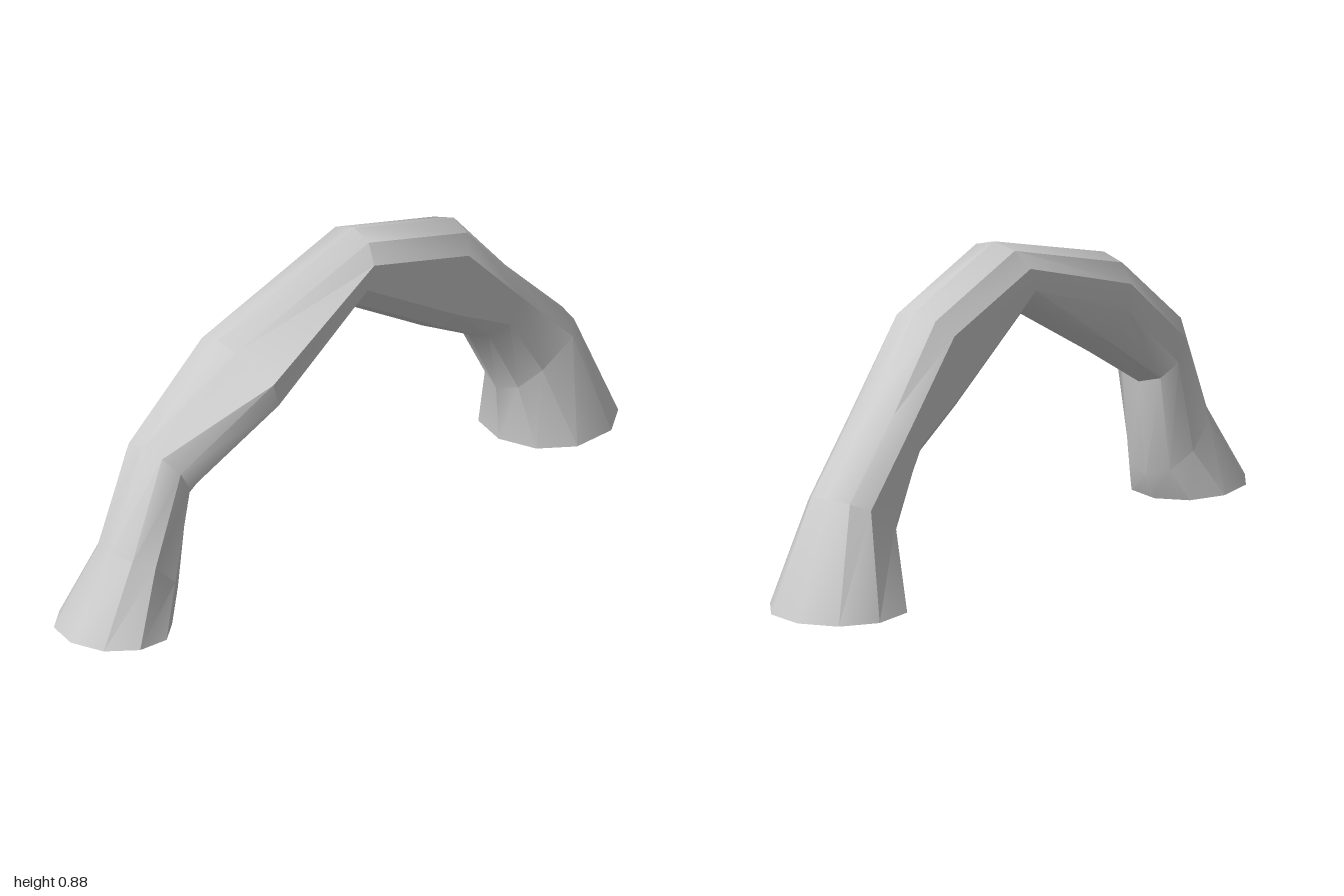
import * as THREE from 'three';
import { toCreasedNormals } from 'three/addons/utils/BufferGeometryUtils.js';

const SIDES = 10;

// Each section of the arch: outer ridge, upper side, lower side and inner ridge
// as [x, y], then the half depth and the z of its centre.
const sections = [
  { pts: [[-1, 0.02], [-0.89, 0.015], [-0.79, 0.008], [-0.68, 0]], depth: 0.155, z: -0.012 },
  { pts: [[-0.855, 0.24], [-0.79, 0.21], [-0.715, 0.14], [-0.645, 0.07]], depth: 0.108, z: -0.007 },
  { pts: [[-0.735, 0.52], [-0.69, 0.46], [-0.655, 0.4], [-0.615, 0.34]], depth: 0.103, z: -0.006 },
  { pts: [[-0.45, 0.74], [-0.43, 0.67], [-0.41, 0.6], [-0.38, 0.476]], depth: 0.103, z: -0.006, bulge: 0.19 },
  { pts: [[0.07, 0.885], [0.045, 0.818], [0.02, 0.752], [0, 0.685]], depth: 0.103, z: -0.006 },
  { pts: [[0.45, 0.77], [0.405, 0.71], [0.37, 0.54], [0.33, 0.485]], depth: 0.103, z: -0.006 },
  { pts: [[0.645, 0.55], [0.61, 0.5], [0.56, 0.44], [0.505, 0.39]], depth: 0.103, z: -0.006 },
  { pts: [[0.86, 0.34], [0.8, 0.31], [0.685, 0.25], [0.61, 0.185]], depth: 0.103, z: -0.006 },
  { pts: [[1, 0.025], [0.87, 0.025], [0.74, 0.025], [0.62, 0.025]], depth: 0.18, z: -0.006 },
];

// Ten-sided ring: outer ridge, down the front, inner ridge, back up the rear
function ring({ pts, depth, z, bulge }) {
  const [outer, upper, lower, inner] = pts.map((p) => new THREE.Vector2(...p));
  const side = [
    outer,
    outer.clone().lerp(upper, 0.276),
    upper,
    lower,
    inner.clone().lerp(lower, 0.276),
    inner,
  ];
  const spread = [0, 0.618, 1, 1, 0.618, 0];
  const out = [];
  for (let j = 0; j < SIDES; j++) {
    const front = j <= 5;
    const k = front ? j : SIDES - j;
    let depthAt = z + (front ? 1 : -1) * spread[k] * depth;
    if (bulge && (j === 2 || j === 3)) depthAt = bulge;
    out.push(side[k].x, side[k].y, depthAt);
  }
  return out;
}

export function createModel() {
  const group = new THREE.Group();
  group.name = 'arch';

  const positions = sections.flatMap(ring);
  const index = [];
  for (let i = 0; i < sections.length - 1; i++) {
    for (let j = 0; j < SIDES; j++) {
      const next = (j + 1) % SIDES;
      const a = i * SIDES + j;
      const b = i * SIDES + next;
      const c = b + SIDES;
      const d = a + SIDES;
      index.push(a, b, c, a, c, d);
    }
  }

  const geometry = new THREE.BufferGeometry();
  geometry.setAttribute('position', new THREE.Float32BufferAttribute(positions, 3));
  geometry.setIndex(index);

  // Hollow shell, open at both feet
  const shell = new THREE.Mesh(
    toCreasedNormals(geometry, 0.6),
    new THREE.MeshStandardMaterial({ color: 0xcccccc, side: THREE.DoubleSide })
  );
  shell.name = 'archShell';
  group.add(shell);
  return group;
}
